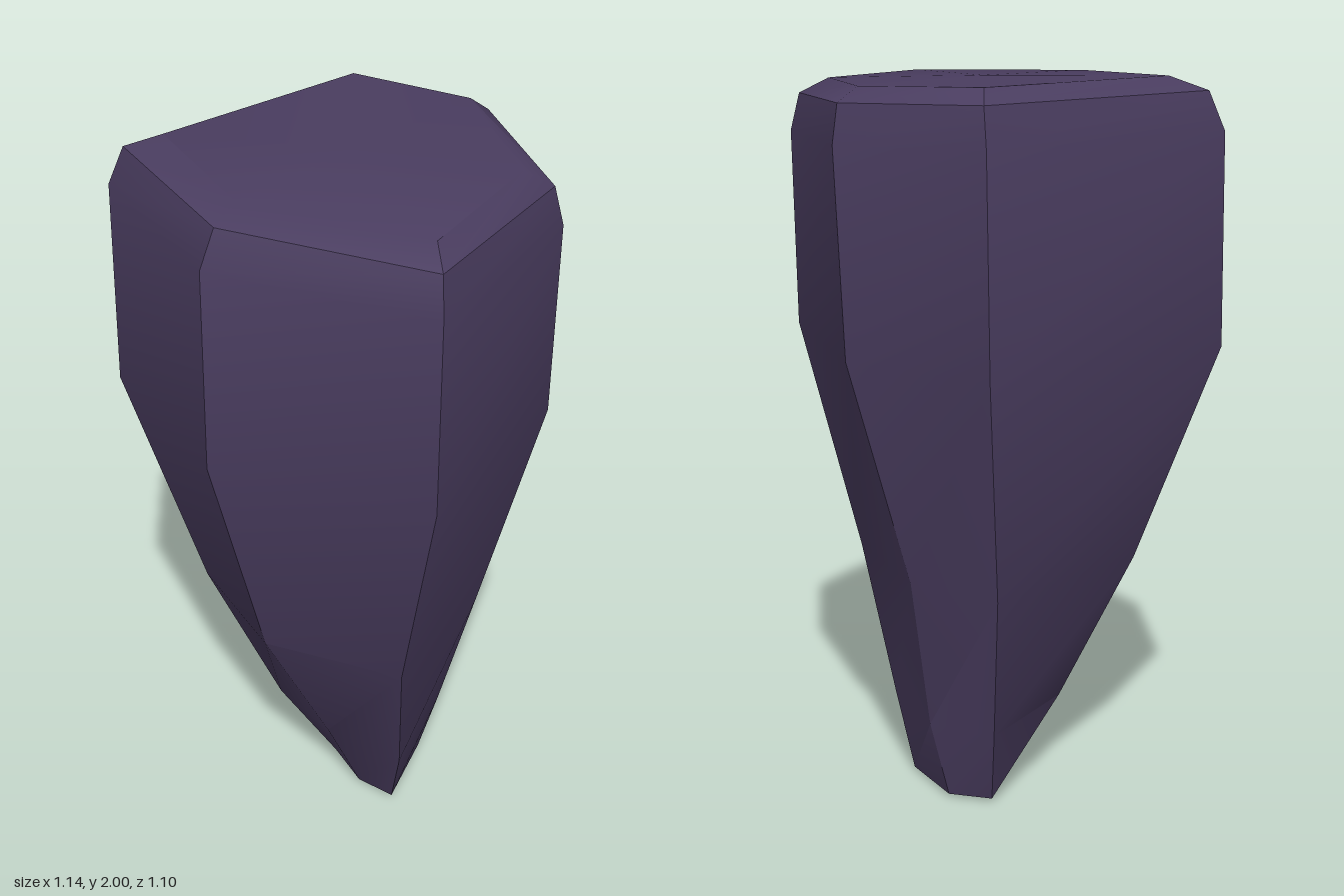
import * as THREE from 'three';
import { toCreasedNormals } from 'three/addons/utils/BufferGeometryUtils.js';

// Six-sided cross-sections, bottom to top; corners run clockwise seen from above.
// tilt lowers the +x side of a section slightly.
const SECTIONS = [
  { y: 0.01, tilt: 0, pts: [[-0.185, -0.19], [-0.07, -0.24], [0.13, -0.155], [0.21, 0.08], [0.09, 0.085], [-0.055, 0.02]] },
  { y: 0.23, tilt: 0, pts: [[-0.24, -0.25], [-0.045, -0.29], [0.2, -0.155], [0.29, 0.15], [0.04, 0.17], [-0.19, 0.115]] },
  { y: 0.65, tilt: 0, pts: [[-0.315, -0.33], [-0.03, -0.35], [0.325, -0.155], [0.385, 0.27], [-0.005, 0.385], [-0.36, 0.235]] },
  { y: 1.285, tilt: -0.025, pts: [[-0.4, -0.47], [0.03, -0.53], [0.48, -0.235], [0.565, 0.375], [-0.04, 0.55], [-0.575, 0.325]] },
  { y: 1.845, tilt: 0.015, pts: [[-0.4, -0.485], [0.045, -0.55], [0.49, -0.24], [0.57, 0.375], [-0.035, 0.55], [-0.567, 0.325]] },
  { y: 1.95, tilt: 0.02, pts: [[-0.38, -0.47], [0.04, -0.535], [0.465, -0.23], [0.547, 0.35], [-0.02, 0.51], [-0.53, 0.3]] },
  { y: 1.99, tilt: 0.02, pts: [[-0.34, -0.42], [0.015, -0.485], [0.4, -0.18], [0.48, 0.285], [-0.02, 0.43], [-0.44, 0.24]] },
];

function loftGeometry(sections) {
  const rings = sections.map(({ y, tilt, pts }) => pts.map(([x, z]) => [x, y - tilt * x, z]));
  const n = rings[0].length;
  const positions = [];
  const tri = (...corners) => corners.forEach((c) => positions.push(...c));

  // Side walls
  for (let r = 0; r < rings.length - 1; r++) {
    for (let i = 0; i < n; i++) {
      const j = (i + 1) % n;
      const low = rings[r], high = rings[r + 1];
      tri(low[j], low[i], high[i]);
      tri(low[j], high[i], high[j]);
    }
  }

  // Bottom and top caps
  const bottom = rings[0], top = rings[rings.length - 1];
  for (let i = 0; i < n; i++) {
    const j = (i + 1) % n;
    tri([0.01, 0, -0.07], bottom[i], bottom[j]);
    tri([0, 1.995, 0], top[j], top[i]);
  }

  const geometry = new THREE.BufferGeometry();
  geometry.setAttribute('position', new THREE.Float32BufferAttribute(positions, 3));
  return toCreasedNormals(geometry, THREE.MathUtils.degToRad(30));
}

export function createModel() {
  const group = new THREE.Group();
  group.name = 'rock';
  const stone = new THREE.MeshStandardMaterial({ color: 0x4a3d60 });
  stone.name = 'purple stone';

  // Tapered stone pillar
  const pillar = new THREE.Mesh(loftGeometry(SECTIONS), stone);
  pillar.name = 'stonePillar';
  group.add(pillar);
  return group;
}
